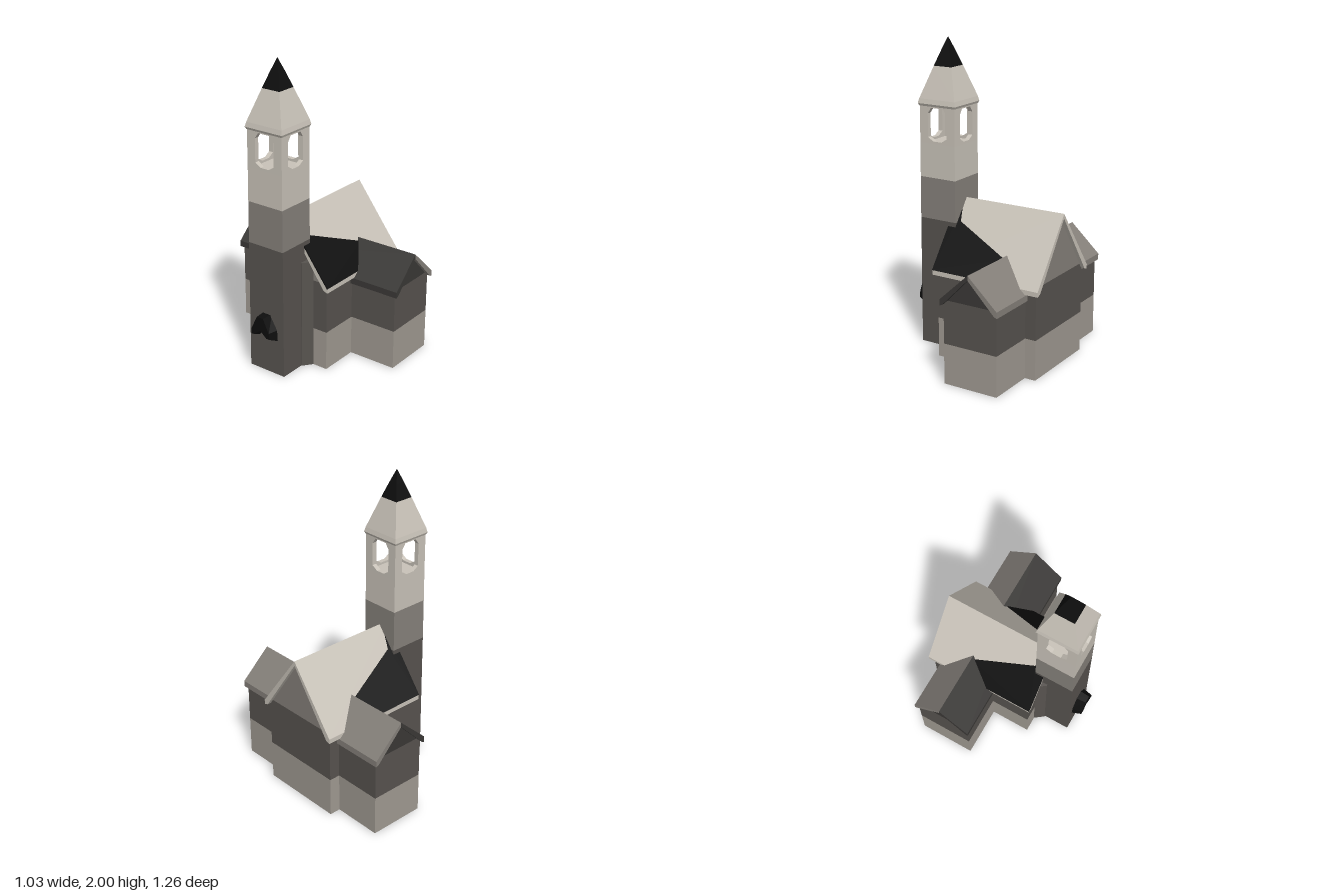
import * as THREE from 'three';

const paint = (color) => new THREE.MeshStandardMaterial({ color, flatShading: true, side: THREE.DoubleSide });
const stone = paint(0xc8c2b8);
const lowerStone = paint(0xa09a92);
const dimStone = paint(0x85807a);
const shadedStone = paint(0x57534f);
const darkStone = paint(0x3a3836);
const soot = paint(0x0e0e0e);

function add(parent, name, geometry, material, x = 0, y = 0, z = 0) {
  const mesh = new THREE.Mesh(geometry, material);
  mesh.name = name;
  mesh.position.set(x, y, z);
  parent.add(mesh);
  return mesh;
}

const vectors = (pts) => pts.map(([x, y]) => new THREE.Vector2(x, y));
const shapeOf = (pts) => new THREE.Shape(vectors(pts));
const prism = (shape, depth) => new THREE.ExtrudeGeometry(shape, { depth, bevelEnabled: false })
  .translate(0, 0, -depth / 2);

// Gabled wing along z: two wall courses, a gable and two roof slopes
function wing(name, { wall, eave, length, overhang, eaveTop, eaveBottom, ridge, gable, slopes }) {
  const group = new THREE.Group();
  group.name = name;
  const course = 0.26;
  const peak = ridge - 0.02;
  const wallTop = peak - (ridge - eaveTop) * (wall / eave);
  const box = (y0, y1) => prism(shapeOf([[-wall, y0], [wall, y0], [wall, y1], [-wall, y1]]), length);
  add(group, name + 'LowerWalls', box(0, course), lowerStone);
  add(group, name + 'UpperWalls', box(course, wallTop), shadedStone);
  add(group, name + 'Gable', prism(shapeOf([[-wall, wallTop], [wall, wallTop], [0, peak]]), length), gable);
  [-1, 1].forEach((side, i) => {
    const slope = shapeOf([
      [side * eave, eaveBottom], [side * eave, eaveTop], [0, ridge],
      [0, ridge - 0.03], [side * (wall - 0.005), eaveBottom + 0.01],
    ]);
    add(group, name + 'RoofSlope', prism(slope, length + 2 * overhang), slopes[i]);
  });
  return group;
}

// Belfry wall with a chamfered opening
function belfryPanel(width, height, thickness) {
  const h = width / 2;
  const shape = shapeOf([[-h, 0], [h, 0], [h, height], [-h, height]]);
  shape.holes.push(new THREE.Path(vectors([
    [-0.03, 0.015], [0.03, 0.015], [0.07, 0.04], [0.07, 0.19],
    [0.045, 0.227], [-0.045, 0.227], [-0.07, 0.19], [-0.07, 0.04],
  ])));
  return prism(shape, thickness);
}

// Square turned profile, given as half-widths and heights
const squareLathe = (pts) => new THREE.LatheGeometry(
  vectors(pts.map(([r, y]) => [r * Math.SQRT2, y])), 4, Math.PI / 4);

export function createModel() {
  const church = new THREE.Group();
  church.name = 'church';

  // Nave runs along x
  const eave = 0.31, eaveTop = 0.58, ridge = 0.99;
  const nave = wing('nave', {
    wall: 0.285, eave, length: 0.71, overhang: 0.025, eaveTop, eaveBottom: 0.55, ridge,
    gable: dimStone, slopes: [stone, stone],
  });
  nave.rotation.y = Math.PI / 2;
  nave.position.x = 0.135;
  church.add(nave);

  // Dark covering on the lower tower end of both nave slopes
  const rise = ridge - eaveTop;
  const slopeLength = Math.hypot(eave, rise);
  const patchShape = shapeOf([[-0.246, 0.31], [0.23, 0.31], [0.23, 0.215], [-0.17, 0.1], [-0.19, 0.05], [-0.246, 0.05]]
    .map(([x, z]) => [x, (1 - z / eave) * slopeLength]));
  for (const side of [1, -1]) {
    const half = new THREE.Group();
    half.name = 'darkRoofHalf';
    half.scale.z = side;
    const patch = add(half, 'darkRoofCovering', prism(patchShape, 0.008), soot, 0, eaveTop, eave);
    patch.rotation.x = -Math.atan2(eave, rise);
    church.add(half);
  }

  // Transept crosses it along z
  const transept = wing('transept', {
    wall: 0.185, eave: 0.2, length: 1.22, overhang: 0.022, eaveTop: 0.545, eaveBottom: 0.505, ridge: 0.73,
    gable: darkStone, slopes: [darkStone, dimStone],
  });
  transept.position.x = 0.232;
  church.add(transept);

  // Tower shaft in three courses, darker towards the ground
  const tower = new THREE.Group();
  tower.name = 'tower';
  tower.position.x = -0.322;
  church.add(tower);
  const courses = [[0, 0.85, 0.134, 0.132, shadedStone], [0.85, 1.12, 0.132, 0.131, dimStone], [1.12, 1.34, 0.131, 0.13, stone]];
  for (const [y0, y1, r0, r1, material] of courses) {
    add(tower, 'towerShaft', squareLathe([[0, y0], [r0, y0], [r1, y1], [0, y1]]), material);
  }

  // Open belfry
  const t = 0.03;
  for (let i = 0; i < 4; i++) {
    const width = i % 2 ? 0.26 - 2 * t : 0.26;
    const panel = add(tower, 'belfryWall', belfryPanel(width, 0.25, t), stone);
    const angle = i * Math.PI / 2;
    panel.rotation.y = angle;
    panel.position.set(Math.sin(angle) * (0.13 - t / 2), 1.34, Math.cos(angle) * (0.13 - t / 2));
  }

  // Cornice, spire and dark tip
  add(tower, 'spire', squareLathe([[0, 1.575], [0.132, 1.575], [0.139, 1.59], [0.132, 1.62], [0.065, 1.82]]), stone);
  add(tower, 'spireTip', squareLathe([[0.065, 1.82], [0.03, 1.92], [0, 2]]), soot);

  // Sloped link between tower and nave
  const link = prism(shapeOf([[-0.28, -0.14], [-0.2, -0.2], [-0.2, 0.2], [-0.28, 0.14]]), 0.72);
  link.rotateX(-Math.PI / 2);
  add(church, 'towerLink', link, shadedStone, 0, 0.36, 0);

  // Small canopy on the entrance side of the tower, tapering outwards
  const canopy = prism(shapeOf([
    [-0.09, 0.23], [-0.06, 0.23], [0, 0.31], [0.06, 0.23], [0.09, 0.23],
    [0.085, 0.31], [0.03, 0.4], [-0.03, 0.4], [-0.085, 0.31],
  ]), 0.08);
  const p = canopy.attributes.position;
  for (let i = 0; i < p.count; i++) {
    if (p.getZ(i) < 0) {
      p.setX(i, p.getX(i) * 0.8);
      p.setY(i, Math.max(p.getY(i), 0.27));
    }
  }
  canopy.rotateY(Math.PI / 2);
  add(church, 'entranceCanopy', canopy, soot, -0.48, 0, 0);

  return church;
}
